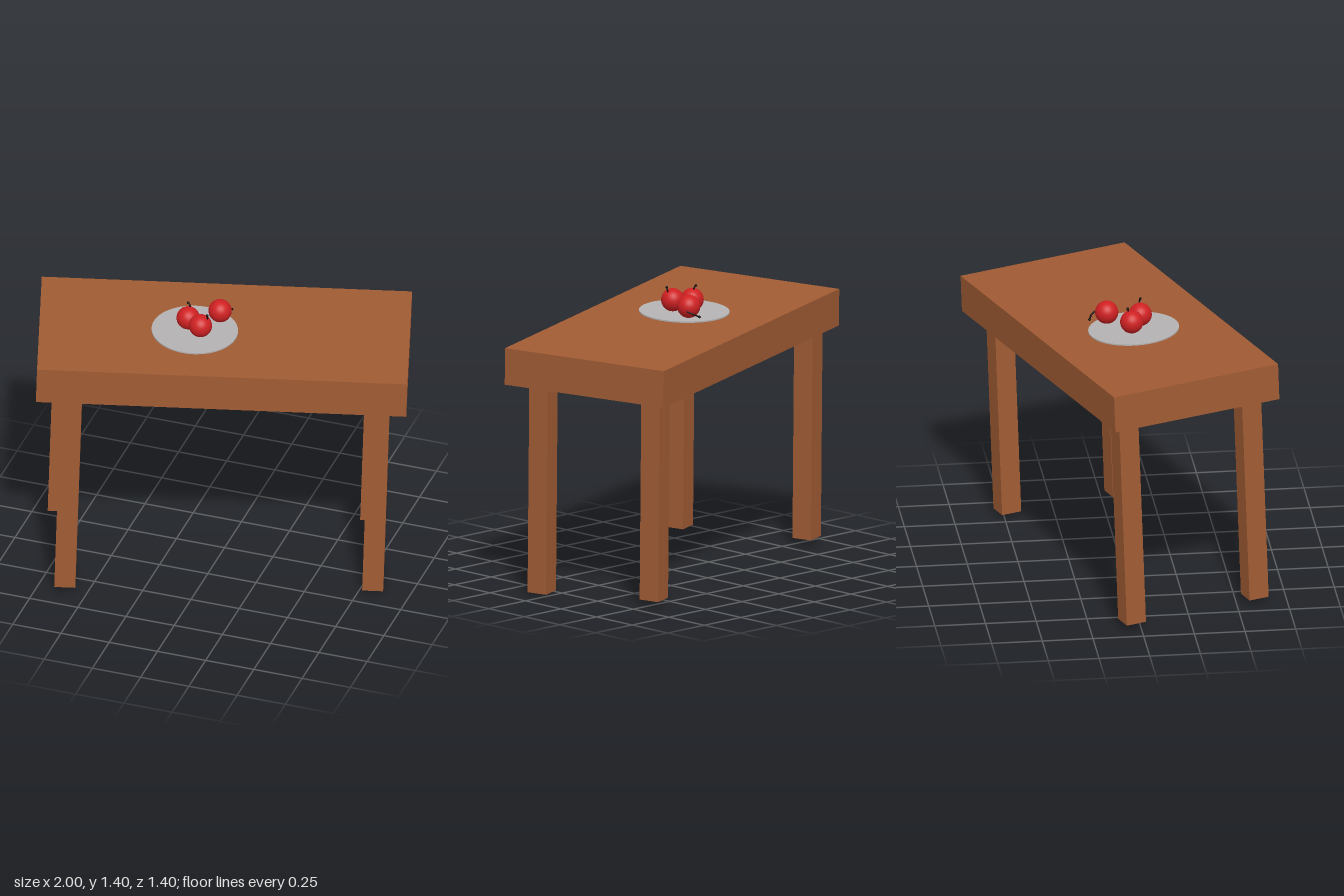
import * as THREE from 'three';

export function createModel() {
  const model = new THREE.Group();
  const mat = (name, color) => {
    const m = new THREE.MeshStandardMaterial({ color });
    m.name = name;
    return m;
  };
  const wood = mat('wood', 0xa05b33);
  const red = mat('apple red', 0xcf2022);
  const grey = mat('plate grey', 0xb4b2b2);
  const black = mat('stem black', 0x0c0606);

  const add = (parent, name, geometry, material, x = 0, y = 0, z = 0) => {
    const mesh = new THREE.Mesh(geometry, material);
    mesh.name = name;
    mesh.position.set(x, y, z);
    parent.add(mesh);
    return mesh;
  };

  // Table frame: turned and slightly tilted, origin at the middle of the top face
  const table = new THREE.Group();
  table.name = 'table';
  const along = new THREE.Vector3(0.953, -0.03, -0.303).normalize();
  const up = new THREE.Vector3(0.306, 0.025, 0.952).cross(along).normalize();
  const across = along.clone().cross(up);
  table.quaternion.setFromRotationMatrix(new THREE.Matrix4().makeBasis(along, up, across));
  table.position.set(0, 1.261, 0);
  model.add(table);

  add(table, 'tableTop', new THREE.BoxGeometry(1.815, 0.185, 0.883), wood, 0, -0.0925, 0);

  // Legs, unevenly placed: along, across, depth of the foot below the top face
  const legs = {
    frontRightLeg: [-0.734, 0.346, 1.264],
    frontLeftLeg: [0.773, 0.298, 1.243],
    backLeftLeg: [0.746, -0.31, 1.206],
    backRightLeg: [-0.785, -0.337, 1.242],
  };
  for (const [name, [x, z, foot]] of Object.entries(legs)) {
    const h = foot - 0.18;
    add(table, name, new THREE.BoxGeometry(0.103, h, 0.103), wood, x, -0.18 - h / 2, z);
  }

  // Thin plate
  const plate = add(table, 'plate', new THREE.CylinderGeometry(1, 1, 0.009, 64), grey, -0.1455, 0.002, 0.011);
  plate.scale.set(0.212, 1, 0.225);

  // Apples with bent stems: centre, then stem base, middle and tip
  const apples = [
    { c: [-0.175, 1.323, 0.04], stem: [[-0.17, 1.365, 0.027], [-0.172, 1.385, 0.022], [-0.181, 1.396, 0.019]] },
    { c: [-0.093, 1.326, 0.092], stem: [[-0.064, 1.36, 0.09], [-0.056, 1.38, 0.092], [-0.057, 1.394, 0.097]] },
    { c: [-0.047, 1.326, -0.068], stem: [[0.008, 1.315, -0.112], [-0.01, 1.302, -0.138], [-0.04, 1.287, -0.152]] },
  ];
  apples.forEach(({ c, stem }, i) => {
    const group = new THREE.Group();
    group.name = `apple${i + 1}`;
    model.add(group);
    add(group, 'appleBody', new THREE.SphereGeometry(0.057, 32, 24), red, ...c);
    const points = stem.map((p) => new THREE.Vector3(...p));
    add(group, 'stem', new THREE.TubeGeometry(new THREE.CatmullRomCurve3(points), 10, 0.004, 8), black);
    add(group, 'stemTip', new THREE.SphereGeometry(0.0065, 10, 8), black, ...stem[2]);
  });

  return model;
}
